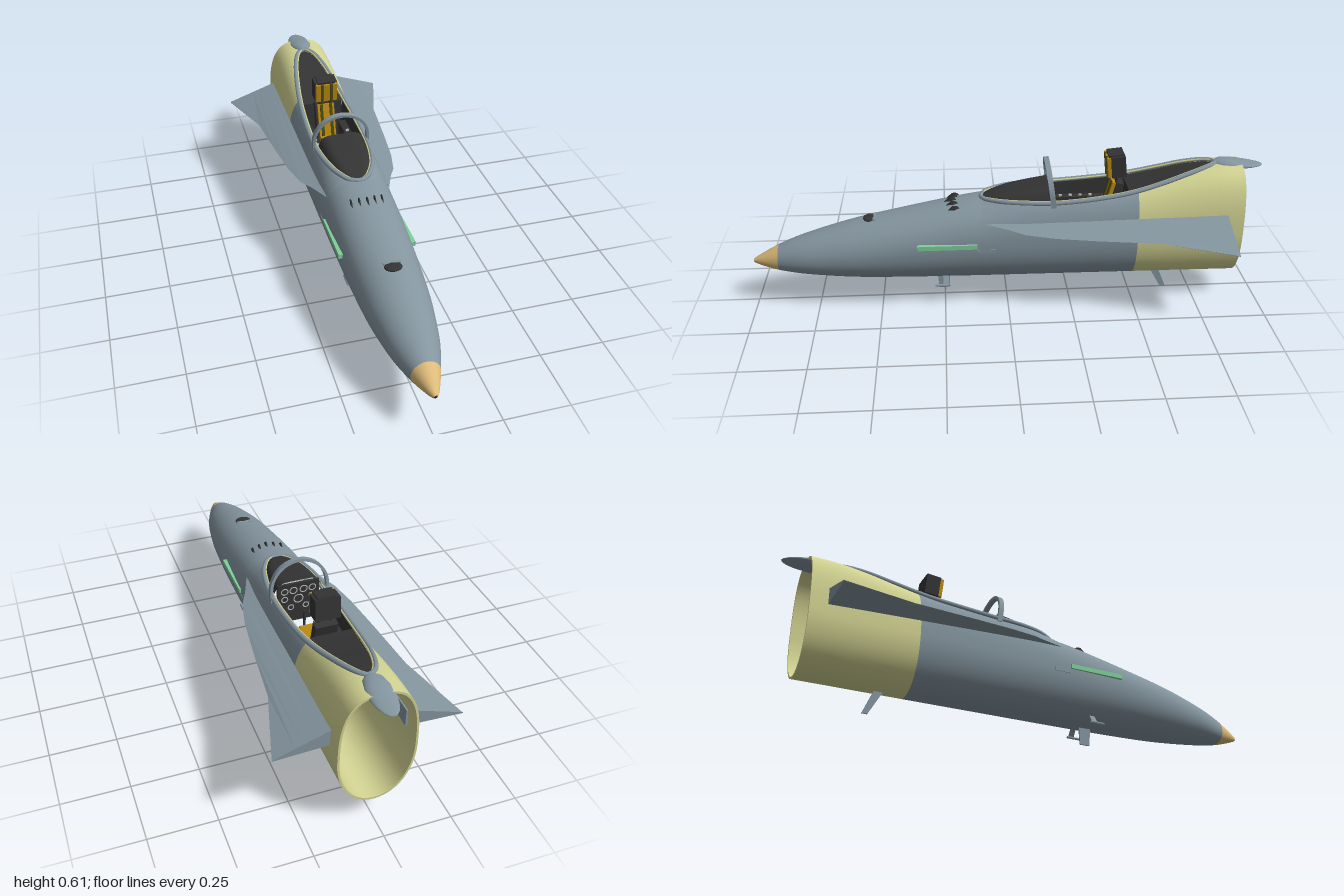
import * as THREE from 'three';
import { mergeVertices } from 'three/addons/utils/BufferGeometryUtils.js';

const mat = (name, color, double) => {
  const m = new THREE.MeshStandardMaterial({ color });
  m.name = name;
  if (double) m.side = THREE.DoubleSide;
  return m;
};

// Smooth curve through [z, value] pairs, z descending
const curve = (p) => (z) => {
  let i = 0;
  while (i < p.length - 2 && z < p[i + 1][0]) i++;
  const slope = (k) => {
    const a = p[Math.max(k - 1, 0)], b = p[Math.min(k + 1, p.length - 1)];
    return (b[1] - a[1]) / (b[0] - a[0]);
  };
  const d = p[i + 1][0] - p[i][0], t = THREE.MathUtils.clamp((z - p[i][0]) / d, 0, 1);
  const t2 = t * t, t3 = t2 * t;
  return (2 * t3 - 3 * t2 + 1) * p[i][1] + (t3 - 2 * t2 + t) * d * slope(i)
    + (3 * t2 - 2 * t3) * p[i + 1][1] + (t3 - t2) * d * slope(i + 1);
};

// Fuselage half width, bottom, top (or cockpit sill), widest height, fullness and opening half width
const width = curve([[1, .008], [.97, .024], [.9, .053], [.8, .086], [.7, .106], [.6, .12], [.4, .134], [.2, .14], [0, .142], [-.91, .142]]);
const bottom = curve([[1, .172], [.97, .16], [.9, .141], [.8, .127], [.6, .11], [.4, .103], [.2, .099], [0, .097], [-.91, .09]]);
const top = curve([[1, .188], [.97, .206], [.9, .243], [.8, .282], [.6, .34], [.4, .382], [.2, .42], [.1, .435], [0, .442], [-.2, .445],
  [-.4, .463], [-.5, .48], [-.6, .505], [-.7, .533], [-.8, .553], [-.91, .556]]);
const middle = curve([[1, .18], [.9, .188], [.6, .225], [.3, .26], [0, .28], [-.91, .3]]);
const fullness = curve([[1, 2], [.5, 2.05], [0, 2.4], [-.91, 2.8]]);
const openCurve = curve([[.1, 0], [.09, .026], [.06, .05], [0, .077], [-.1, .096], [-.2, .102], [-.3, .101], [-.4, .096], [-.5, .088],
  [-.6, .075], [-.7, .056], [-.77, .034], [-.8, .015], [-.81, 0]]);
const opening = (z) => (z >= .1 || z <= -.81 ? 0 : Math.max(0, openCurve(z)));

function ring(z, inset = 0, n = 48) {
  const w = width(z), yc = middle(z), e = 2 / fullness(z);
  const t0 = Math.asin(Math.pow(opening(z) / w, 1 / e));
  const h = (top(z) - yc) / Math.pow(Math.cos(t0), e);
  return Array.from({ length: n + 1 }, (_, j) => {
    const t = t0 + (2 * Math.PI - 2 * t0) * j / n, s = Math.sin(t), c = Math.cos(t), k = c > 0 ? e : .96;
    const x = Math.abs(s) < 1e-6 ? 0 : Math.sign(s) * Math.pow(Math.abs(s), k);
    const y = Math.sign(c) * Math.pow(Math.abs(c), k);
    return [x * (w - inset), yc + y * ((c > 0 ? h : yc - bottom(z)) - inset), z];
  });
}

// Skin over a row of equal-length point rings
function loft(rings, flat) {
  const n = rings[0].length, idx = [];
  for (let i = 0; i < rings.length - 1; i++) for (let j = 0; j < n - 1; j++) {
    const a = i * n + j, c = a + n;
    idx.push(a, a + 1, c, a + 1, c + 1, c);
  }
  let g = new THREE.BufferGeometry();
  g.setAttribute('position', new THREE.Float32BufferAttribute(rings.flat(2), 3));
  g.setIndex(idx);
  g = flat ? g.toNonIndexed() : mergeVertices(g, 1e-5);
  g.computeVertexNormals();
  return g;
}

const steps = (a, b, n) => Array.from({ length: n + 1 }, (_, i) => a + (b - a) * i / n);

export function createModel() {
  const grey = mat('bodyGrey', 0x84959f), cream = mat('creamPrimer', 0xd2d392, true), tan = mat('noseTan', 0xdcba78);
  const dark = mat('cockpitDark', 0x343434, true), gold = mat('seatGold', 0xb98912), olive = mat('strapOlive', 0x4b4a12);
  const green = mat('lightGreen', 0x7fd09b), pale = mat('dialGrey', 0xb4b8ba);
  const model = new THREE.Group();
  const add = (name, geo, m, x = 0, y = 0, z = 0, parent = model) => {
    const mesh = new THREE.Mesh(geo, m);
    mesh.name = name;
    mesh.position.set(x, y, z);
    parent.add(mesh);
    return mesh;
  };
  const box = (name, w, h, d, m, x, y, z, parent) => add(name, new THREE.BoxGeometry(w, h, d), m, x, y, z, parent);

  // Fuselage skin, nose and hollow rear shell
  add('noseCone', loft(steps(1, .9, 8).map((z) => ring(z))), tan);
  add('noseTip', new THREE.SphereGeometry(.01, 16, 10), dark, 0, .18, .99);
  add('forwardFuselage', loft(steps(.9, -.5, 140).map((z) => ring(z))), grey);
  add('rearFuselage', loft(steps(-.5, -.91, 41).map((z) => ring(z))), cream);
  add('rearInnerSkin', loft(steps(-.91, -.5, 41).map((z) => ring(z, .008))), cream);
  add('rearLip', loft([ring(-.91), ring(-.91, .008)]), cream);
  add('bulkhead', loft([ring(-.5, .008), ring(-.5).map(() => [0, .3, -.5])]), cream);

  // Cockpit rim and its seal
  const rimPoints = (inset, lift) => {
    const side = steps(.1, -.81, 60).map((z) => [Math.max(0, opening(z) - inset), top(z) + lift, z]);
    const back = side.slice(1, -1).reverse().map(([x, y, z]) => [-x, y, z]);
    return new THREE.CatmullRomCurve3([...side, ...back].map((p) => new THREE.Vector3(...p)), true);
  };
  add('cockpitRim', new THREE.TubeGeometry(rimPoints(-.005, 0), 200, .009, 8, true), grey);
  add('cockpitSeal', new THREE.TubeGeometry(rimPoints(.004, .003), 200, .004, 6, true), cream);

  // Rear deck, glare shield and cockpit tub
  const across = steps(-1, 1, 20);
  add('rearDeck', loft(steps(-.47, -.81, 24).map((z) => across.map((u) => [u * opening(z), top(z) - .008, z]))), dark);
  add('glareShield', loft(steps(.1, -.16, 24).map((z) => across.map((u) =>
    [u * opening(z) * .96, top(z) + .047 * Math.pow((.1 - z) / .26, .8) * (1 - u ** 6), z]))), dark);
  add('cockpitTub', loft(steps(-.16, -.48, 16).map((z) => {
    const r = opening(z), y = top(z);
    return [[r, y, z], [r * .9, .27, z], [-r * .9, .27, z], [-r, y, z]];
  }), true), dark);
  box('cockpitRearWall', .17, .2, .006, dark, 0, .365, -.478);
  box('instrumentPanel', .165, .17, .01, dark, 0, .395, -.158);
  for (const [x, y, r] of [[-.055, .45, .013], [-.02, .45, .014], [.02, .45, .014], [.055, .45, .013],
    [-.055, .415, .012], [0, .41, .018], [.055, .415, .012], [-.03, .375, .011], [.03, .375, .011]]) {
    const dial = add('dial', new THREE.TorusGeometry(r, .0025, 6, 16), pale, x, y, -.164);
    dial.scale.z = .6;
  }
  for (const s of [-1, 1]) {
    box('sideConsole', .03, .1, .24, dark, s * .074, .34, -.31);
    for (let i = 0; i < 4; i++) box('consoleSwitch', .012, .006, .012, pale, s * .074, .392, -.22 - i * .04);
  }
  add('controlStick', new THREE.CylinderGeometry(.005, .006, .12, 8), dark, 0, .34, -.23);

  // Ejection seat
  const seat = new THREE.Group();
  seat.name = 'seat';
  model.add(seat);
  box('seatPan', .085, .06, .13, dark, 0, .31, -.33, seat);
  box('seatCushion', .07, .02, .12, gold, 0, .35, -.325, seat);
  const back = new THREE.Group();
  back.name = 'seatBack';
  back.position.set(0, .42, -.405);
  back.rotation.x = -.25;
  seat.add(back);
  box('backFrame', .085, .15, .03, dark, 0, 0, -.015, back);
  box('backCushion', .07, .14, .016, gold, 0, 0, .006, back);
  for (const s of [-1, 1]) {
    box('backStrap', .012, .142, .005, olive, s * .02, 0, .016, back);
    add('headPost', new THREE.CylinderGeometry(.006, .006, .06, 8), dark, s * .022, .495, -.425, seat);
  }
  const head = new THREE.Group();
  head.name = 'headrest';
  head.position.set(0, .558, -.42);
  head.rotation.x = .1;
  seat.add(head);
  box('headFrame', .094, .084, .056, dark, 0, 0, -.008, head);
  box('headTop', .072, .012, .06, dark, 0, .042, -.004, head);
  for (const x of [-.031, 0, .031]) box('headCushion', .026, .078, .016, gold, x, 0, .026, head);
  for (const s of [-1, 1]) box('headStrap', .011, .09, .012, olive, s * .02, -.004, .031, head);

  // Windscreen arch
  const arch = new THREE.Shape();
  arch.moveTo(.116, -.01).lineTo(.116, .03);
  arch.absellipse(0, .03, .116, .118, 0, Math.PI, false);
  arch.lineTo(-.116, -.01).lineTo(-.105, -.01).lineTo(-.105, .03);
  arch.absellipse(0, .03, .105, .107, Math.PI, 0, true);
  arch.lineTo(.105, -.01);
  const archMesh = add('windscreenArch', new THREE.ExtrudeGeometry(arch, { depth: .02, bevelEnabled: false, curveSegments: 32 }), grey, 0, .438, -.183);
  archMesh.rotation.x = .13;

  // Spine tongue over the tail
  add('spineTongue', loft([[-.8, .012, .558, .535], [-.83, .036, .569, .528], [-.87, .046, .566, .525], [-.91, .046, .559, .53], [-.95, .039, .551, .534],
    [-.98, .026, .546, .536], [-.995, .012, .543, .538], [-1, 0, .54, .54]].map(([z, w, a, b]) => steps(0, 2 * Math.PI, 20).map((t) =>
    [w * Math.sin(t), (a + b) / 2 + Math.cos(t) * (a - b) / 2, z]))), grey);

  for (const s of [-1, 1]) {
    // Wing root extension: wedge sections along the span
    const stations = [[.125, .09], [.14, .05], [.16, 0], [.19, -.06], [.215, -.17], [.235, -.33], [.26, -.57], [.34, -.845]];
    const rings = stations.map(([x, z]) => {
      const k = (x - .14) / .2, up = [s * x, .388 - .069 * k, -.845];
      return [up, [s * x, .368 - .051 * k, z], [s * x, .324 - .009 * k, -.845], up];
    });
    rings.unshift(rings[0].map(() => [s * .125, .36, -.6]));
    add('wing', loft(s > 0 ? rings : rings.reverse(), true), grey);

    // Side light strip, small vent and air data probe
    box('lightStrip', .016, .018, .23, green, s * .14, .286, .235);
    box('sideVent', .008, .014, .07, grey, s * .139, .264, .085);
    const strut = box('probeStrut', .005, .052, .022, grey, s * .083, .112, .245);
    strut.rotation.z = s * .6;
    const probe = add('probeTube', new THREE.CylinderGeometry(.005, .005, .06, 10), grey, s * .094, .092, .258);
    probe.rotation.x = Math.PI / 2;
  }

  // Belly blades: side outline in (z, y), thin across x
  const blade = (name, pts, t) => {
    const g = new THREE.ExtrudeGeometry(new THREE.Shape(pts.map(([z, y]) => new THREE.Vector2(-z, y))), { depth: t, bevelEnabled: false });
    g.translate(0, 0, -t / 2).rotateY(Math.PI / 2);
    add(name, g, grey);
  };
  blade('frontBlade', [[.28, .11], [.273, .03], [.232, .03], [.228, .11]], .006);
  blade('rearBlade', [[-.58, .1], [-.635, 0], [-.657, 0], [-.615, .1]], .005);

  // Nose sensor blister and row of vortex tabs
  add('blister', new THREE.SphereGeometry(1, 24, 12), dark, 0, .353, .535).scale.set(.033, .009, .026);
  box('blisterBack', .064, .012, .012, grey, 0, .354, .516);
  for (let i = -2; i <= 2; i++) {
    const x = i * .03, z = .215 - Math.abs(i) * .006;
    const tab = add('vortexTab', new THREE.CylinderGeometry(.002, .006, .02, 4), dark, x, .421 - x * x * 2.6, z);
    tab.scale.z = 5;
  }
  return model;
}
